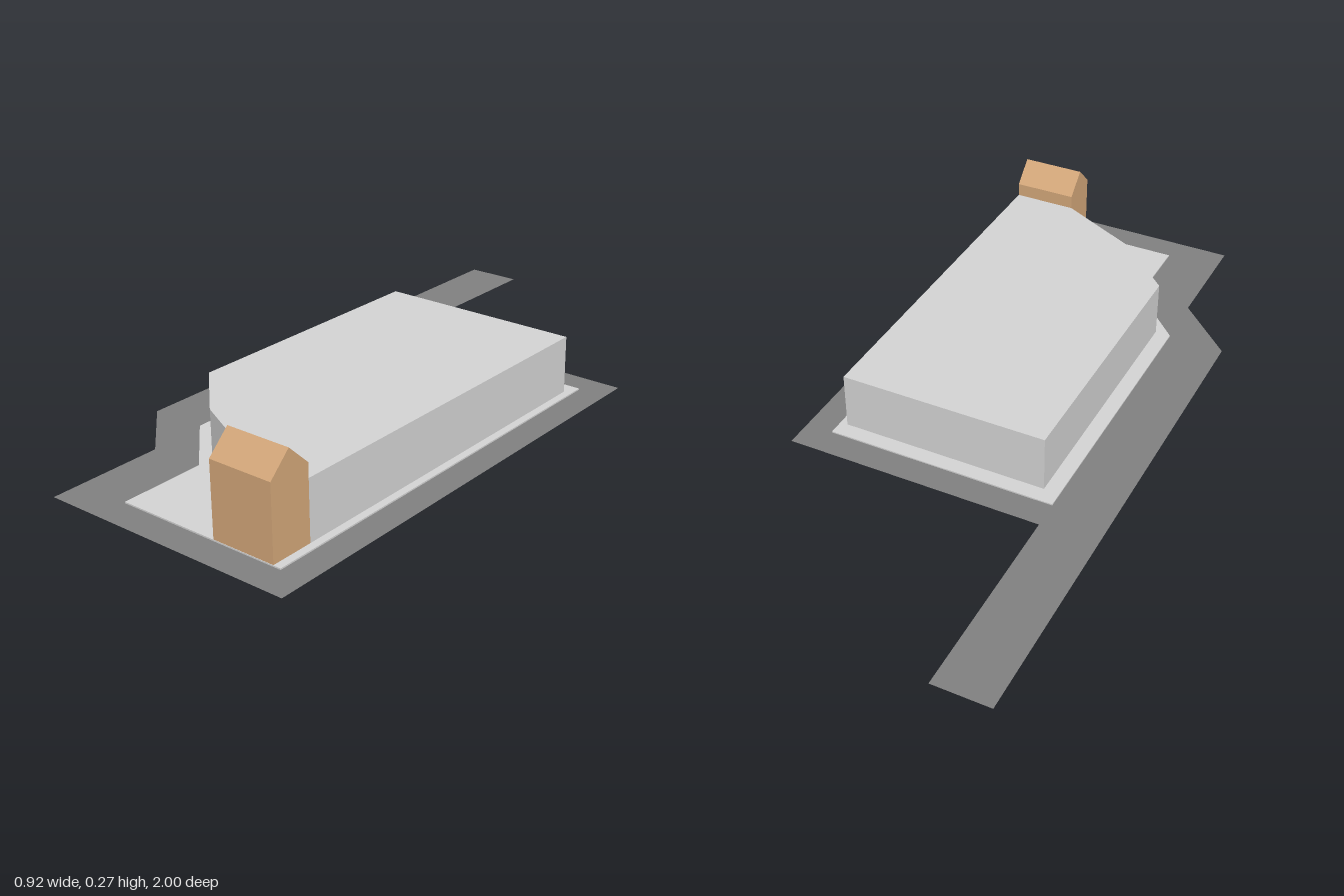
import * as THREE from 'three';
import { mergeGeometries } from 'three/addons/utils/BufferGeometryUtils.js';

const WALK = 0.004, HALL = 0.17, EAVES = 0.21, RIDGE = 0.27;

// Plan outlines as [x, z], clockwise seen from above
const roadEdge = [[-0.46, -1], [-0.295, -1], [-0.295, -0.415], [0.455, -0.415],
  [0.455, 1], [-0.29, 1], [-0.29, 0.667], [-0.46, 0.5]];
const walkEdge = [[-0.295, -0.335], [0.374, -0.335], [0.374, 0.915],
  [-0.13, 0.915], [-0.13, 0.667], [-0.295, 0.5]];
const hallEdge = [[-0.25, -0.29], [0.352, -0.29], [0.352, 0.79],
  [0.166, 0.79], [-0.085, 0.662], [-0.25, 0.5]];
// Footprint of hall and gatehouse together
const builtEdge = [[-0.25, -0.29], [0.352, -0.29], [0.352, 0.914],
  [0.166, 0.914], [0.166, 0.79], [-0.085, 0.662], [-0.25, 0.5]];

const points = (outline) => outline.map(([x, z]) => new THREE.Vector2(x, -z));

// Horizontal sheet at height y, optionally with a hole
function sheet(outline, y, hole) {
  const shape = new THREE.Shape(points(outline));
  if (hole) shape.holes.push(new THREE.Path(points(hole)));
  return new THREE.ShapeGeometry(shape).rotateX(-Math.PI / 2).translate(0, y, 0);
}

// Flat four-cornered face, corners counter-clockwise from its front
function quad(a, b, c, d) {
  const g = new THREE.BufferGeometry();
  g.setAttribute('position', new THREE.Float32BufferAttribute([a, b, c, d].flat(), 3));
  g.setAttribute('uv', new THREE.Float32BufferAttribute([0, 0, 1, 0, 1, 1, 0, 1], 2));
  g.setIndex([0, 1, 2, 0, 2, 3]);
  g.computeVertexNormals();
  return g;
}

// Upright walls along an outline; skip leaves one segment open
function walls(outline, height, skip = -1) {
  return outline.map(([ax, az], i) => {
    const [bx, bz] = outline[(i + 1) % outline.length];
    return quad([bx, 0, bz], [ax, 0, az], [ax, height, az], [bx, height, bz]);
  }).filter((_, i) => i !== skip);
}

// Gabled shell with an open floor: front, back and roof strips, then two gable ends
function gatehouse() {
  const x0 = 0.166, x1 = 0.352;
  const profile = [[0.79, 0], [0.79, EAVES], [0.852, RIDGE], [0.914, EAVES], [0.914, 0]];
  const parts = [];
  for (let i = 0; i < profile.length - 1; i++) {
    const [az, ay] = profile[i], [bz, by] = profile[i + 1];
    parts.push(quad([x1, ay, az], [x0, ay, az], [x0, by, bz], [x1, by, bz]));
  }
  const gable = new THREE.Shape(profile.map(([z, y]) => new THREE.Vector2(-z, y)));
  parts.push(new THREE.ShapeGeometry(gable).rotateY(Math.PI / 2).translate(x1, 0, 0));
  const mirrored = new THREE.Shape(profile.map(([z, y]) => new THREE.Vector2(z, y)));
  parts.push(new THREE.ShapeGeometry(mirrored).rotateY(-Math.PI / 2).translate(x0, 0, 0));
  return parts;
}

function material(name, color) {
  const m = new THREE.MeshStandardMaterial({ color, side: THREE.DoubleSide });
  m.name = name;
  return m;
}

export function createModel() {
  const group = new THREE.Group();
  const asphalt = material('asphalt', 0x808080);
  const concrete = material('concrete', 0xd3d3d3);
  const tan = material('tan', 0xd2a679);

  const add = (name, parts, mat) => {
    const mesh = new THREE.Mesh(mergeGeometries(parts), mat);
    mesh.name = name;
    group.add(mesh);
  };

  add('road', [sheet(roadEdge, 0, walkEdge)], asphalt);
  add('pavement', [sheet(walkEdge, WALK, builtEdge), ...walls(walkEdge, WALK)], concrete);
  // The hall is open where it meets the gatehouse
  add('hall', [sheet(hallEdge, HALL), ...walls(hallEdge, HALL, 2)], concrete);
  add('gatehouse', gatehouse(), tan);
  return group;
}
